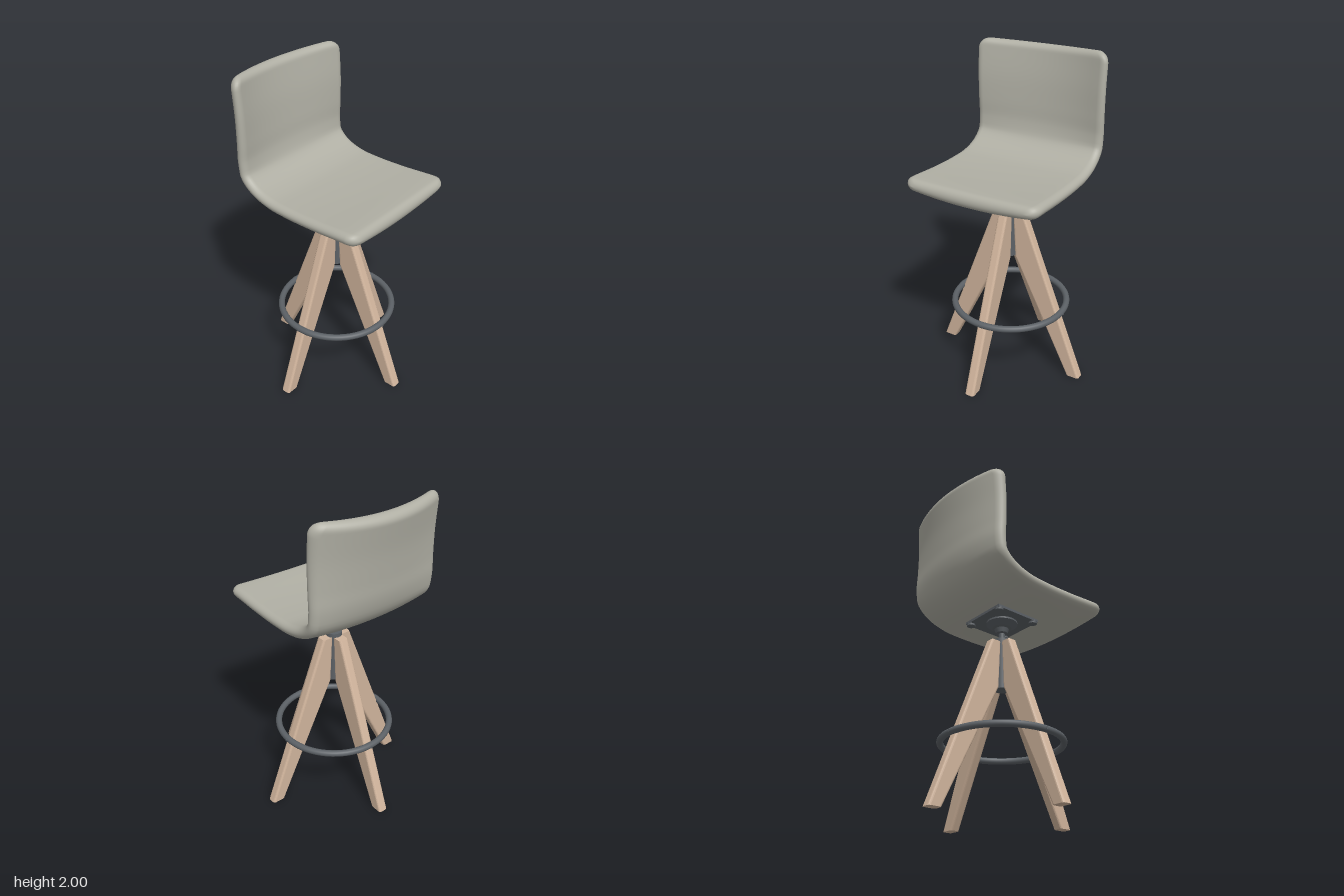
import * as THREE from 'three';
import { mergeVertices } from 'three/addons/utils/BufferGeometryUtils.js';

const upholstery = new THREE.MeshStandardMaterial({ color: 0xb0afa4 });
const wood = new THREE.MeshStandardMaterial({ color: 0xd0b49c });
const metal = new THREE.MeshStandardMaterial({ color: 0x5c6166 });
upholstery.name = 'grey upholstery';
wood.name = 'light wood';
metal.name = 'dark metal';

// Skin closed loops of points into one surface, optionally with flat end caps
function loft(loops, caps) {
  const n = loops[0].length, index = [];
  const points = loops.flat();
  for (let i = 0; i < loops.length - 1; i++) {
    for (let j = 0; j < n; j++) {
      const a = i * n + j, b = i * n + (j + 1) % n;
      index.push(a, b, a + n, b, b + n, a + n);
    }
  }
  if (caps) {
    const top = (loops.length - 1) * n;
    for (let j = 1; j < n - 1; j++) {
      index.push(0, j + 1, j);
      index.push(top, top + j, top + j + 1);
    }
  }
  const g = new THREE.BufferGeometry().setFromPoints(points);
  g.setIndex(index);
  return g;
}

// One-piece padded seat and back, swept along its centre profile
function shellGeometry() {
  const profile = [
    [0.48, 1.298], [0.4, 1.297], [0.2, 1.285], [0, 1.282], [-0.15, 1.293], [-0.27, 1.333],
    [-0.348, 1.4], [-0.383, 1.5], [-0.395, 1.62], [-0.412, 1.78], [-0.435, 1.92], [-0.447, 1.988],
  ];
  const path = new THREE.CatmullRomCurve3(profile.map(([z, y]) => new THREE.Vector3(0, y, z)));
  const length = path.getLength();
  const W = 0.432, corner = 0.07, round = 0.042;
  const arc = (d, r) => Math.sqrt(Math.max(0, 1 - (1 - Math.min(d / r, 1)) ** 2));

  // Stations bunch up at both ends so the rims are round
  const ends = [];
  for (let k = 0; k <= 10; k++) ends.push(corner * (1 - Math.cos((k / 10) * Math.PI / 2)));
  const stations = [...ends];
  for (let k = 1; k < 50; k++) stations.push(corner + (length - 2 * corner) * k / 50);
  stations.push(...ends.map((d) => length - d).reverse());

  const loops = stations.map((s) => {
    const t = Math.min(1, s / length);
    const p = path.getPointAt(t), d = path.getTangentAt(t);
    const normal = new THREE.Vector3(0, -d.z, d.y);
    const end = Math.max(0, Math.min(s, length - s));
    const w = W - corner + corner * arc(end, corner);
    const rim = end < 1e-6 ? 0 : arc(end, round);
    // The back wraps forward at its sides more and more towards the top
    const bow = 0.02 + 0.072 * THREE.MathUtils.clamp((p.y - 1.42) / 0.56, 0, 1) ** 0.8;

    const xs = [];
    for (let k = 0; k <= 6; k++) xs.push(-w + round * (1 - Math.cos((k / 6) * Math.PI / 2)));
    for (let k = 1; k < 16; k++) xs.push((w - round) * (k / 8 - 1));
    for (let k = 6; k >= 0; k--) xs.push(w - round * (1 - Math.cos((k / 6) * Math.PI / 2)));

    const point = (x, side) => {
      const u = x / W;
      const h = (0.046 - 0.012 * u * u) * rim * arc(w - Math.abs(x), round);
      const q = p.clone().addScaledVector(normal, bow * u * u + side * h);
      q.x = x;
      return q;
    };
    return [...xs.map((x) => point(x, 1)), ...xs.slice(1, -1).reverse().map((x) => point(x, -1))];
  });
  const g = mergeVertices(loft(loops, false), 1e-5);
  g.computeVertexNormals();
  return g;
}

// Tapered leg: rounded rectangles stacked from floor to top, leaning along +x
function legGeometry() {
  const half = 0.031, r = 0.014;
  const levels = [[0, 0.43, 0.515], [0.77, 0.046, 0.218], [1.075, 0.03, 0.1]];
  const loops = levels.map(([y, inner, outer]) => {
    const loop = [];
    for (let c = 0; c < 4; c++) {
      const cx = c === 0 || c === 3 ? outer - r : inner + r;
      const cz = c < 2 ? -half + r : half - r;
      for (let k = 0; k <= 3; k++) {
        const a = (c + k / 3) * Math.PI / 2;
        loop.push(new THREE.Vector3(cx + r * Math.cos(a), y, cz - r * Math.sin(a)));
      }
    }
    return loop;
  });
  const g = loft(loops, true).toNonIndexed();
  g.computeVertexNormals();
  return g;
}

export function createModel() {
  const model = new THREE.Group();
  model.name = 'barStool';
  const add = (name, geometry, material, x = 0, y = 0, z = 0, parent = model) => {
    const mesh = new THREE.Mesh(geometry, material);
    mesh.name = name;
    mesh.position.set(x, y, z);
    parent.add(mesh);
    return mesh;
  };

  add('seatShell', shellGeometry(), upholstery);

  // Mounting plate with four corner pads
  add('mountingPlate', new THREE.BoxGeometry(0.32, 0.016, 0.32), metal, 0, 1.231, 0);
  for (const x of [-1, 1]) {
    for (const z of [-1, 1]) {
      add('platePad', new THREE.CylinderGeometry(0.026, 0.026, 0.02, 20), metal, x * 0.137, 1.22, z * 0.137);
    }
  }

  // Swivel cup and spindle
  const cup = [[0, 1.09], [0.02, 1.09], [0.02, 1.146], [0.036, 1.15], [0.045, 1.178], [0.06, 1.184], [0.098, 1.212], [0.098, 1.226]];
  const swivel = new THREE.LatheGeometry(cup.map(([x, y]) => new THREE.Vector2(x, y)), 32).toNonIndexed();
  swivel.computeVertexNormals();
  add('swivel', swivel, metal);

  // Central hub holding the legs
  add('hubCollar', new THREE.CylinderGeometry(0.05, 0.05, 0.03, 32), metal, 0, 1.085, 0);
  add('hub', new THREE.CylinderGeometry(0.047, 0.047, 0.31, 32), metal, 0, 0.923, 0);

  // Four legs, each with a screw through the foot ring
  const leg = legGeometry();
  const screw = new THREE.CylinderGeometry(0.009, 0.009, 0.06, 12).rotateZ(Math.PI / 2);
  ['leftLeg', 'backLeg', 'rightLeg', 'frontLeg'].forEach((name, k) => {
    const group = new THREE.Group();
    group.name = name;
    group.rotation.y = k * Math.PI / 2;
    add('legBeam', leg, wood, 0, 0, 0, group);
    add('ringScrew', screw, metal, 0.351, 0.435, 0, group);
    model.add(group);
  });

  // Foot ring
  add('footRing', new THREE.TorusGeometry(0.36, 0.02, 16, 72).rotateX(Math.PI / 2), metal, 0, 0.435, 0);

  return model;
}
